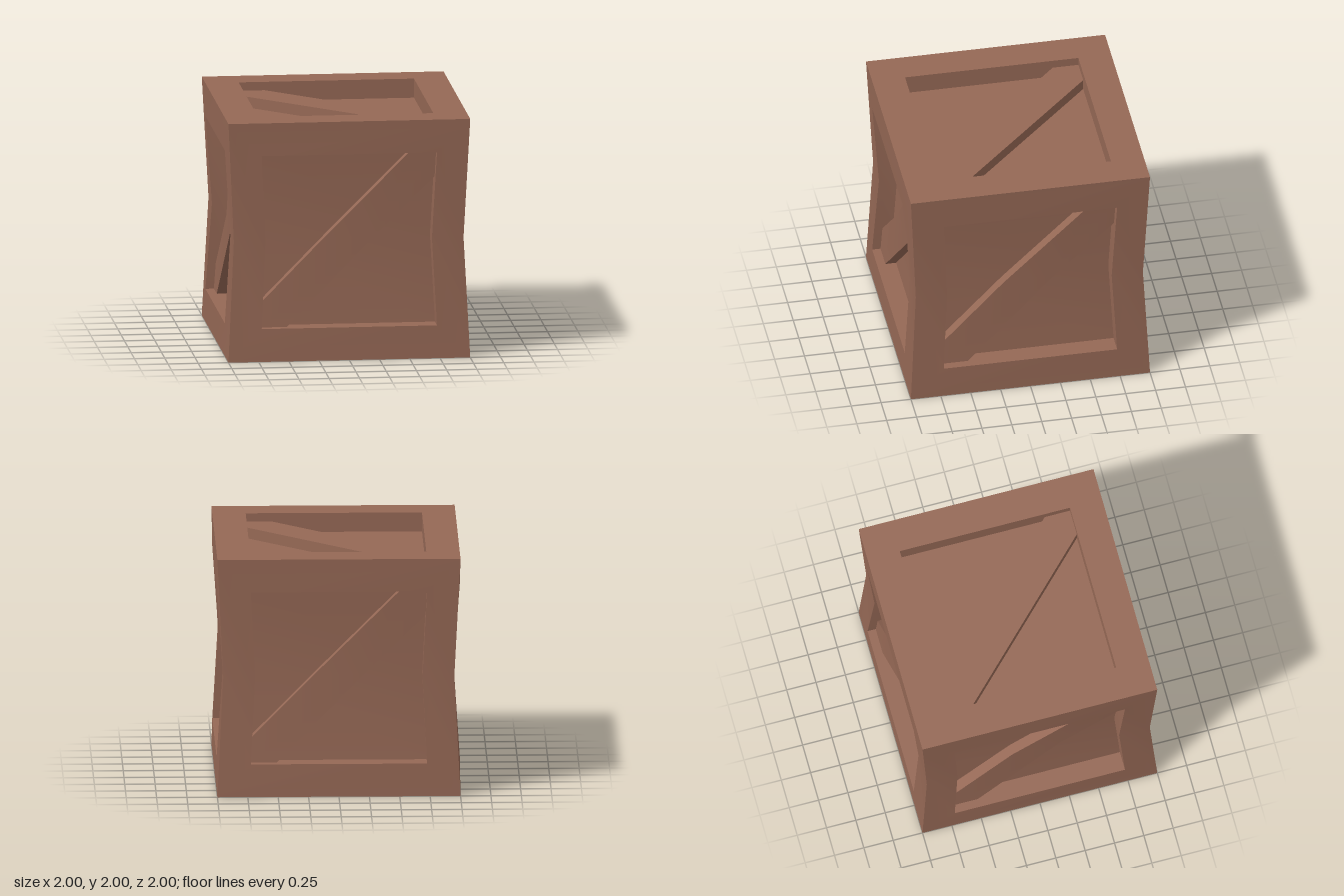
import * as THREE from 'three';
import { toCreasedNormals } from 'three/addons/utils/BufferGeometryUtils.js';

const INNER = 0.725;   // half size of each recessed opening
const FLOOR = 0.84;    // distance of the recessed boards from the centre
const BRACE = 0.93;    // distance of the brace surface from the centre
const CUT = 0.51;      // where a brace edge meets the frame
const WAIST = 0.95;    // how far the sides pinch in at mid height

// Convex polygons (arrays of [x, y, z]) to a geometry, turned onto its side and pinched at the waist
function faceGeometry(polygons, turn) {
  const points = [];
  for (const p of polygons) {
    for (let i = 1; i < p.length - 1; i++) points.push(...p[0], ...p[i], ...p[i + 1]);
  }
  const geometry = new THREE.BufferGeometry();
  geometry.setAttribute('position', new THREE.Float32BufferAttribute(points, 3));
  geometry.applyMatrix4(turn);
  const pos = geometry.attributes.position;
  for (let i = 0; i < pos.count; i++) {
    const t = Math.min(1, Math.abs(pos.getY(i)) / INNER);
    const s = WAIST + (1 - WAIST) * t;
    pos.setXYZ(i, pos.getX(i) * s, pos.getY(i) + 1, pos.getZ(i) * s);
  }
  geometry.computeVertexNormals();
  return toCreasedNormals(geometry, 0.4);
}

// Square loop with extra points at mid height
const loop = (r, z) => [[1, 0], [1, 1], [-1, 1], [-1, 0], [-1, -1], [1, -1]].map(([x, y]) => [x * r, y * r, z]);

// Quads joining two loops
const bridge = (a, b) => a.map((p, i) => {
  const j = (i + 1) % a.length;
  return [p, a[j], b[j], b[i]];
});

// Diagonal brace: two surface halves and its two long flanks
function bracePolygons() {
  const c = INNER, h = CUT, e = c - h;
  const outline = [[-c, -c], [-h, -c], [e, 0], [c, h], [c, c], [h, c], [-e, 0], [-c, -h]];
  const top = outline.map(([x, y]) => [x, y, BRACE]);
  const low = outline.map(([x, y]) => [x, y, FLOOR]);
  const polygons = [
    [0, 1, 2, 6, 7].map(i => top[i]),
    [2, 3, 4, 5, 6].map(i => top[i]),
  ];
  for (const i of [1, 2, 5, 6]) polygons.push([low[i], low[i + 1], top[i + 1], top[i]]);
  return polygons;
}

export function createModel() {
  const crate = new THREE.Group();
  crate.name = 'crate';
  const wood = new THREE.MeshStandardMaterial({ color: 0x956855 });
  wood.name = 'brown wood';

  const outer = loop(1, 1), rim = loop(INNER, 1), floor = loop(INNER, FLOOR);
  const frame = [...bridge(outer, rim), ...bridge(rim, floor)];
  const board = [floor.slice(0, 4), [floor[3], floor[4], floor[5], floor[0]]];
  const brace = bracePolygons();

  const add = (parent, name, polygons, turn) => {
    const mesh = new THREE.Mesh(faceGeometry(polygons, turn), wood);
    mesh.name = name;
    parent.add(mesh);
  };

  // Four walls, lid and base; the base has no brace
  const q = Math.PI / 2;
  const sides = [
    ['front', 0, 0], ['left', 0, q], ['back', 0, 2 * q], ['right', 0, -q],
    ['top', -q, q], ['bottom', q, 0],
  ];
  for (const [name, tilt, spin] of sides) {
    const turn = new THREE.Matrix4().makeRotationY(spin)
      .multiply(new THREE.Matrix4().makeRotationX(tilt));
    const side = new THREE.Group();
    side.name = name + 'Side';
    add(side, name + 'Frame', frame, turn);
    add(side, name + 'Board', board, turn);
    if (name !== 'bottom') add(side, name + 'Brace', brace, turn);
    crate.add(side);
  }
  return crate;
}
